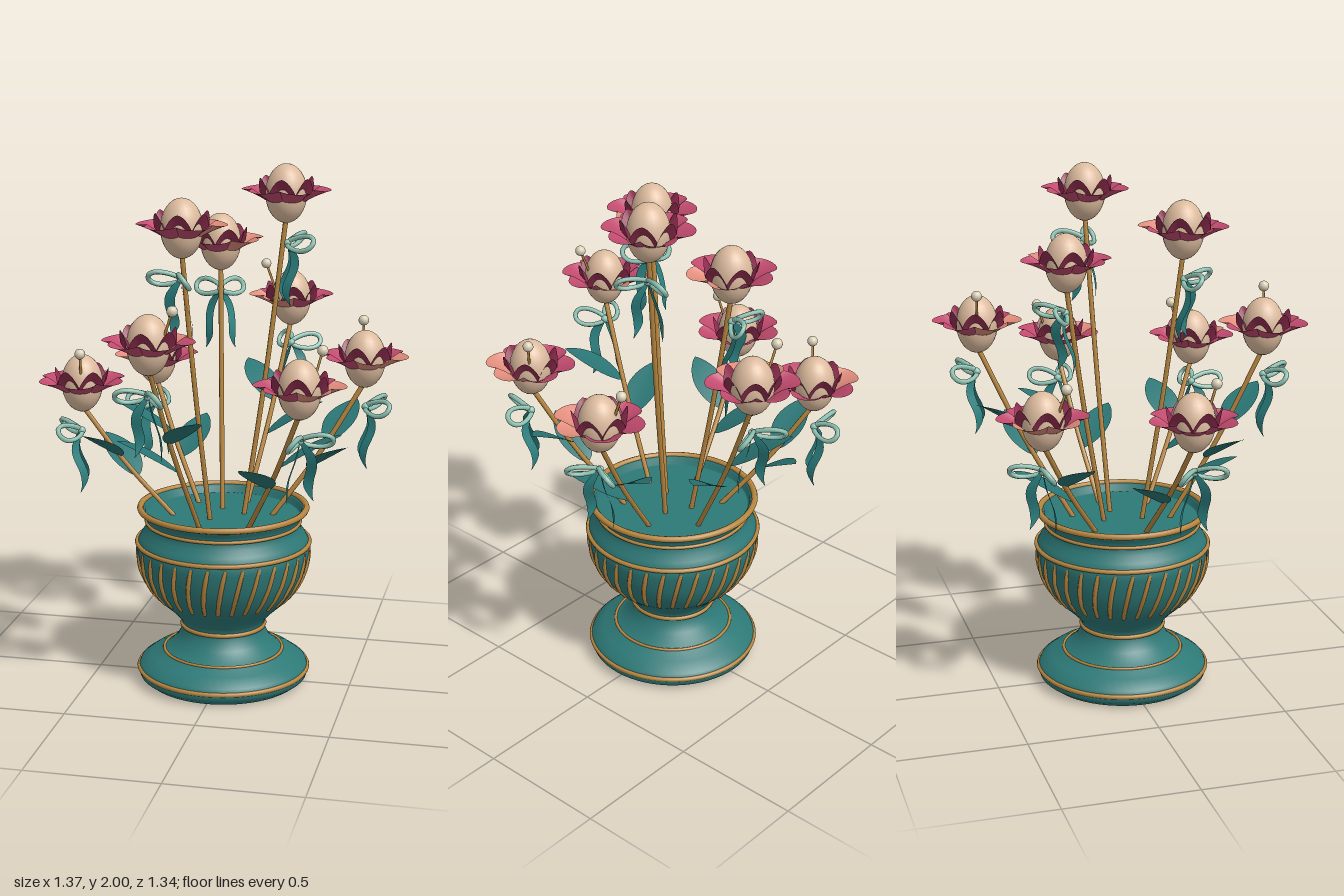
import * as THREE from 'three';

const mat = (name, color, double) => {
  const m = new THREE.MeshStandardMaterial({ color });
  m.name = name;
  if (double) m.side = THREE.DoubleSide;
  return m;
};
const V = (x, y, z) => new THREE.Vector3(x, y, z);

// Grid surface from a rule: f(u in -1..1, v in 0..1) -> Vector3
function sheet(f, nu, nv) {
  const g = new THREE.PlaneGeometry(2, 1, nu, nv);
  const p = g.attributes.position;
  for (let i = 0; i < p.count; i++) {
    const q = f(p.getX(i), p.getY(i) + 0.5);
    p.setXYZ(i, q.x, q.y, q.z);
  }
  g.computeVertexNormals();
  return g;
}

export function createModel() {
  const M = {
    teal: mat('teal glaze', 0x2d7977),
    leaf: mat('leaf teal', 0x2a7574, true),
    ribbon: mat('ribbon teal', 0x2c8080, true),
    bow: mat('pale aqua', 0x8fc4b4),
    gold: mat('gold', 0xb88740),
    egg: mat('beige', 0xdcbb9e),
    pearl: mat('cream', 0xdbd0b8),
    petal: mat('raspberry', 0xc04a6e, true),
    coral: mat('coral', 0xe08c7c, true),
    inner: mat('deep maroon', 0x8e2c4e, true),
  };
  const root = new THREE.Group();
  const add = (parent, name, geo, material) => {
    const m = new THREE.Mesh(geo, material);
    m.name = name;
    parent.add(m);
    return m;
  };

  // Urn
  const urn = new THREE.Group();
  urn.name = 'urn';
  root.add(urn);
  const profile = [[0, 0], [0.295, 0], [0.3, 0.001], [0.325, 0.02], [0.333, 0.045], [0.322, 0.07], [0.28, 0.1],
    [0.22, 0.126], [0.18, 0.165], [0.163, 0.2], [0.158, 0.225], [0.168, 0.25], [0.2, 0.285], [0.25, 0.33],
    [0.292, 0.385], [0.32, 0.45], [0.333, 0.52], [0.333, 0.555], [0.318, 0.585], [0.3, 0.61], [0.293, 0.64],
    [0.302, 0.665], [0.322, 0.69], [0.312, 0.697], [0.3, 0.685], [0.297, 0.662], [0.29, 0.66], [0, 0.66]];
  add(urn, 'urnBody', new THREE.LatheGeometry(profile.map(([x, y]) => new THREE.Vector2(x, y)), 64), M.teal);
  for (const [r, y, t] of [[0.328, 0.05, 0.009], [0.23, 0.122, 0.006], [0.159, 0.222, 0.009],
    [0.332, 0.558, 0.009], [0.296, 0.64, 0.007], [0.319, 0.692, 0.012]]) {
    const ring = add(urn, 'goldRing', new THREE.TorusGeometry(r, t, 8, 64), M.gold);
    ring.rotation.x = Math.PI / 2;
    ring.position.y = y;
  }
  // Slanted gold flutes on the bowl, their ends sinking into it
  const flute = new THREE.TubeGeometry(new THREE.CatmullRomCurve3(
    [[0.255, 0.342, -0.06], [0.289, 0.385, -0.045], [0.32, 0.45, -0.015], [0.33, 0.51, 0.02], [0.327, 0.54, 0.04]]
      .map(([r, y, a]) => V(r * Math.sin(a), y, r * Math.cos(a)))), 12, 0.009, 6);
  for (let i = 0; i < 32; i++) add(urn, 'flute', flute, M.gold).rotation.y = (i / 32) * Math.PI * 2;

  // Shared flower parts
  const eggGeo = new THREE.SphereGeometry(0.078, 24, 16);
  eggGeo.scale(1, 0.11 / 0.078, 1);
  // Wide petal along +x, rising outward to a round lobe
  const petalGeo = sheet((u, v) => {
    const r = 0.06 + v * (0.108 - 0.034 * Math.abs(u) ** 2.5);
    const a = u * Math.PI / 6;
    return V(r * Math.cos(a), -0.036 + 0.068 * v - 0.018 * v * v + 0.008 * v * u * u, r * Math.sin(a));
  }, 10, 6);
  // Inner petal: an arched band around the egg that flares at its top
  const innerGeo = sheet((u, v) => {
    const y = 0.022 - 0.05 * u * u + v * (0.038 - 0.008 * Math.abs(u));
    const r = 0.077 + 0.024 * v, a = u * Math.PI / 6;
    return V(r * Math.cos(a), y, r * Math.sin(a));
  }, 10, 3);
  const leafGeo = sheet((u, v) => {
    const w = 0.064 * Math.sin(Math.PI * v ** 0.85) ** 0.8;
    return V(0.23 * v, 0.17 * v - 0.04 * v * v + 0.1 * Math.abs(u) * w, u * w);
  }, 4, 12);

  // Bow parts: +x points outward, z runs sideways
  const loopGeo = (s) => {
    const d = V(0.65, 0.05, 0.76 * s).normalize(), w = V(0.5, 0.8, -0.3 * s).normalize();
    const pts = [];
    for (let i = 0; i < 12; i++) {
      const a = (i / 12) * Math.PI * 2;
      pts.push(d.clone().multiplyScalar(0.06 * (1 - Math.cos(a)))
        .addScaledVector(w, 0.031 * Math.sin(a) * (1 - 0.3 * Math.cos(a))));
    }
    return new THREE.TubeGeometry(new THREE.CatmullRomCurve3(pts, true), 30, 0.0095, 6, true);
  };
  const tailGeo = (s) => sheet((u, v) => {
    const w = 0.018 * Math.min(1, 0.4 + 3 * v, 4 * (1 - v) + 0.05);
    return V(0.01 * v + 0.02 * Math.sin(v * 6) + u * w * 0.75, -0.23 * v,
      s * (0.07 * v + 0.014 * Math.sin(v * 5) + u * w * 0.75));
  }, 1, 14);
  const loops = [1, -1].map(loopGeo), tails = [1, -1].map(tailGeo);
  const knotGeo = new THREE.SphereGeometry(0.015, 10, 8);
  const pearlGeo = new THREE.SphereGeometry(0.02, 14, 10);

  // Flowers: position, first petal angle (deg), coral petal count, filament offset
  const flowers = [
    [0.165, 1.42, -0.52, 105, 2, [-0.106, -0.02]],
    [-0.36, 1.18, -0.395, 155, 2, [-0.07, 0.07]],
    [-0.06, 1.68, -0.23, -30, 2],
    [0.22, 1.89, -0.085, 0, 0],
    [0.52, 1.27, -0.12, 10, 2, [-0.02, -0.09]],
    [-0.52, 1.18, 0.115, 20, 0, [0.02, 0.09]],
    [-0.11, 1.79, 0.2, -65, 2],
    [0.36, 1.26, 0.39, -5, 2, [0.07, -0.065]],
    [-0.16, 1.42, 0.5, -60, 1, [0.095, 0.035]],
  ];
  for (const [x, y, z, deg, corals, filament] of flowers) {
    const plant = new THREE.Group();
    plant.name = 'flowerStem';
    root.add(plant);
    const heading = Math.atan2(-z, x);

    // Stem
    const base = V(x * 0.33, 0.64, z * 0.33), top = V(x, y - 0.09, z);
    const mid = base.clone().lerp(top, 0.5).add(V(x * 0.03, 0, z * 0.03));
    const curve = new THREE.CatmullRomCurve3([base, mid, top]);
    add(plant, 'stem', new THREE.TubeGeometry(curve, 16, 0.0095, 8), M.gold);

    // Blossom
    const head = new THREE.Group();
    head.name = 'blossom';
    head.position.set(x, y, z);
    plant.add(head);
    add(head, 'eggCentre', eggGeo, M.egg);
    for (let k = 0; k < 6; k++) {
      const a = -THREE.MathUtils.degToRad(deg + k * 60);
      add(head, 'outerPetal', petalGeo, k < corals ? M.coral : M.petal).rotation.y = a;
      add(head, 'innerPetal', innerGeo, M.inner).rotation.y = a + Math.PI / 6;
    }

    // Bow with hanging tails
    const bow = new THREE.Group();
    bow.name = 'bow';
    const out = V(x, 0, z).normalize();
    bow.position.copy(head.position).addScaledVector(out, 0.005);
    bow.position.y -= 0.185;
    bow.rotation.y = heading;
    plant.add(bow);
    add(bow, 'bowKnot', knotGeo, M.bow);
    loops.forEach((g) => add(bow, 'bowLoop', g, M.bow));
    tails.forEach((g) => add(bow, 'bowTail', g, M.ribbon));

    if (!filament) continue;
    // Pearl on a thin filament
    const [fx, fz] = filament, tip = V(fx, 0.13, fz);
    add(head, 'filament', new THREE.TubeGeometry(
      new THREE.LineCurve3(V(fx * 0.6, 0.02, fz * 0.6), tip), 1, 0.005, 6), M.gold);
    add(head, 'pearl', pearlGeo, M.pearl).position.copy(tip);
    // Leaf pair, one on each side
    for (const [t, s] of [[0.38, 1], [0.56, -1]]) {
      const leaf = add(plant, 'leaf', leafGeo, M.leaf);
      leaf.position.copy(curve.getPoint(t));
      leaf.rotation.y = heading + s * -0.96;
    }
  }
  return root;
}
